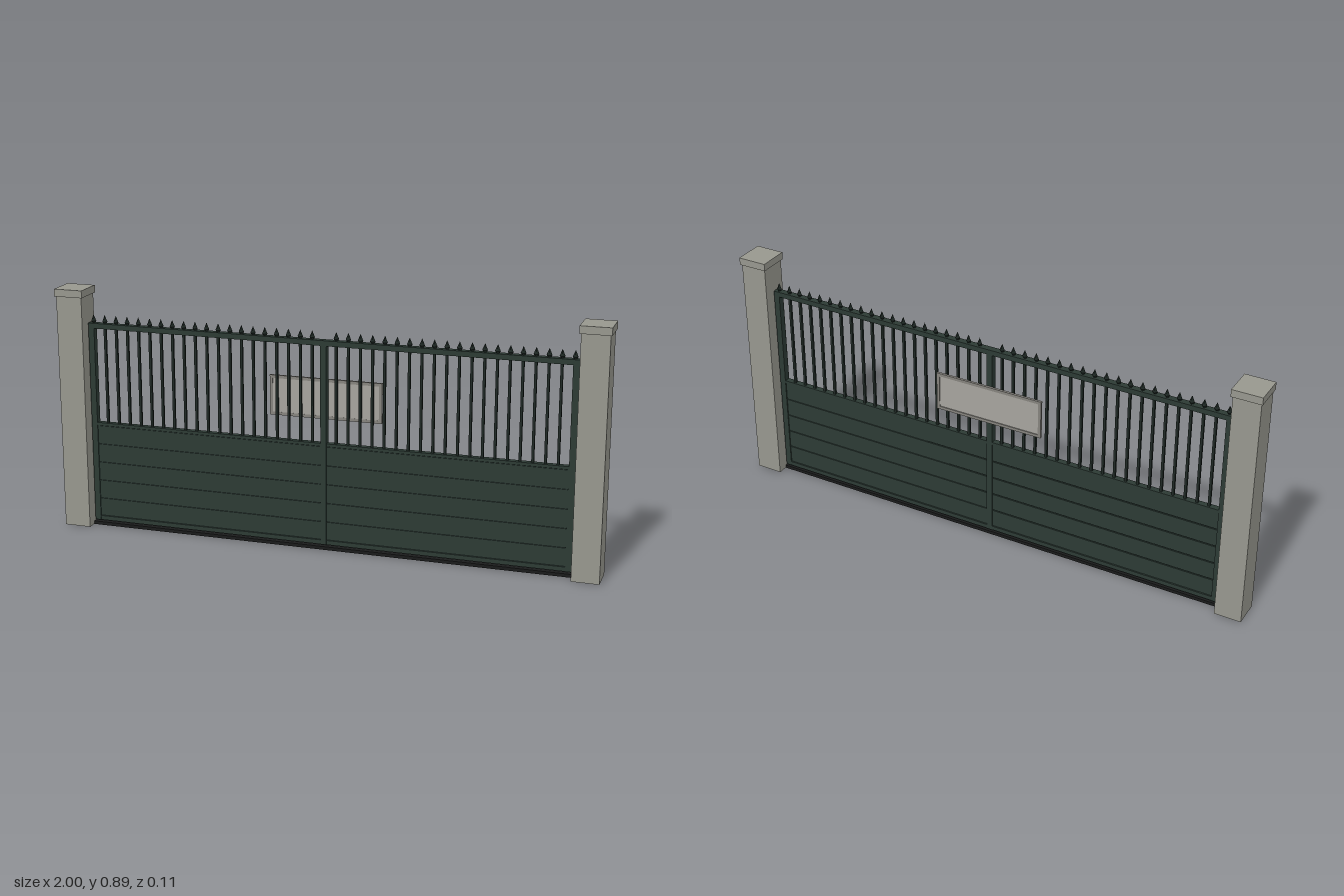
import * as THREE from 'three';

const mat = (name, color) => {
  const m = new THREE.MeshStandardMaterial({ color });
  m.name = name;
  return m;
};

export function createModel() {
  const concrete = mat('concrete', 0x97978e);
  const green = mat('dark green paint', 0x2c3a34);
  const iron = mat('dark iron', 0x1e2824);
  const black = mat('black steel', 0x1a1b1b);
  const plate = mat('pale plate', 0xa6a49e);
  const rim = mat('plate rim', 0x85837d);

  const model = new THREE.Group();
  model.name = 'drivewayGate';

  // Box given by its x, y and z ranges
  const box = (name, material, [x0, x1], [y0, y1], [z0, z1], parent = model) => {
    const mesh = new THREE.Mesh(new THREE.BoxGeometry(x1 - x0, y1 - y0, z1 - z0), material);
    mesh.position.set((x0 + x1) / 2, (y0 + y1) / 2, (z0 + z1) / 2);
    mesh.name = name;
    parent.add(mesh);
    return mesh;
  };
  const span = (c, half) => [c - half, c + half];

  // Pillars with overhanging caps
  for (const s of [-1, 1]) {
    const pillar = new THREE.Group();
    pillar.name = s > 0 ? 'leftPillar' : 'rightPillar';
    model.add(pillar);
    box('pillarShaft', concrete, span(s * 0.946, 0.049), [0.001, 0.866], [-0.05, 0.05], pillar);
    box('pillarCap', concrete, span(s * 0.946, 0.054), [0.866, 0.893], [-0.056, 0.056], pillar);
  }

  // Ground track with end brackets and bolts
  box('groundTrack', black, [-0.905, 0.905], [0, 0.012], [-0.012, 0.012]);
  for (const s of [-1, 1]) {
    for (const z of [-0.012, 0.012]) {
      const bolt = new THREE.Mesh(new THREE.CylinderGeometry(0.009, 0.009, 0.012, 12), black);
      bolt.position.set(s * 0.908, 0.006, z);
      bolt.name = 'trackBolt';
      model.add(bolt);
    }
  }

  // Gate frame
  const gate = new THREE.Group();
  gate.name = 'gateLeaf';
  model.add(gate);
  const depth = [-0.012, 0.012];
  for (const s of [-1, 1]) box('sideStile', green, span(s * 0.88, 0.011), [0.02, 0.75], depth, gate);
  box('centreStile', green, [-0.011, 0.011], [0.02, 0.75], depth, gate);
  box('topRail', green, [-0.891, 0.891], [0.748, 0.767], depth, gate);

  // Solid lower half: horizontal boards over a thin core, between two rails
  const bottom = 0.036, top = 0.385, count = 5, pitch = (top - bottom) / count;
  for (const s of [-1, 1]) {
    const width = s > 0 ? [0.011, 0.869] : [-0.869, -0.011];
    box('bottomRail', green, width, [0.02, bottom], [-0.011, 0.011], gate);
    box('middleRail', green, width, [top, 0.396], [-0.011, 0.011], gate);
    box('panelCore', green, width, [bottom, top], [-0.004, 0.004], gate);
    for (let i = 0; i < count; i++) {
      const y = bottom + i * pitch;
      box('board', green, width, [y + 0.002, y + pitch - 0.002], [-0.008, 0.008], gate);
    }
  }

  // Upright bars, each ending in a spear point above the top rail
  const barGeo = new THREE.BoxGeometry(0.009, 0.37, 0.009);
  const pointGeo = new THREE.ConeGeometry(0.010, 0.024, 4);
  const neckGeo = new THREE.CylinderGeometry(0.010, 0.005, 0.008, 4);
  for (let i = 0; i <= 40; i++) {
    if (i === 20) continue;
    const x = -0.874 + i * 0.0437;
    const add = (name, geo, y) => {
      const mesh = new THREE.Mesh(geo, iron);
      mesh.position.set(x, y, 0);
      mesh.name = name;
      gate.add(mesh);
    };
    add('bar', barGeo, 0.575);
    add('spearNeck', neckGeo, 0.770);
    add('spearPoint', pointGeo, 0.786);
  }

  // Blank plate on the back, with a raised rim
  const sign = new THREE.Group();
  sign.name = 'signPlate';
  model.add(sign);
  const sx = 0.206, y0 = 0.479, y1 = 0.624, r = 0.011, z = [-0.021, -0.012];
  box('plateFace', plate, [-sx + r, sx - r], [y0 + r, y1 - r], [-0.018, -0.0125], sign);
  box('rimBottom', rim, [-sx, sx], [y0, y0 + r], z, sign);
  box('rimTop', rim, [-sx, sx], [y1 - r, y1], z, sign);
  for (const s of [-1, 1]) box('rimSide', rim, span(s * (sx - r / 2), r / 2), [y0 + r, y1 - r], z, sign);

  return model;
}
